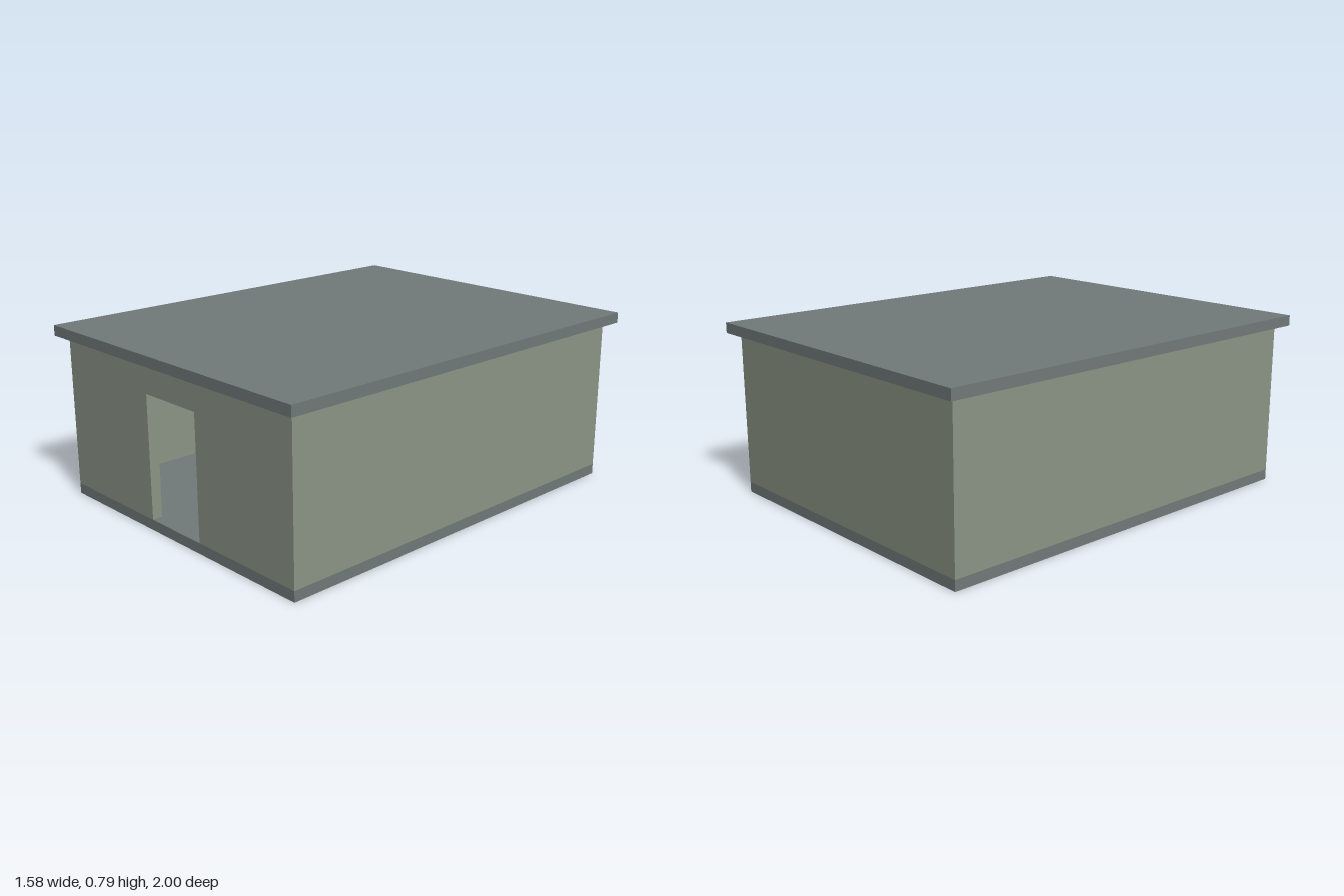
import * as THREE from 'three';

const wallMat = new THREE.MeshStandardMaterial({ color: 0x8c9486 });
wallMat.name = 'sage wall';
const slabMat = new THREE.MeshStandardMaterial({ color: 0x717a79 });
slabMat.name = 'slate grey';

const T = 0.0476;            // thickness of walls, floor and roof
const W = 0.742, D = 0.955;  // half width and half depth of the walls
const TOP = 0.745;           // underside of the roof
const H = TOP - T;           // wall height above the floor slab

export function createModel() {
  const model = new THREE.Group();
  model.name = 'hut';

  const add = (name, geometry, material, x, y, z) => {
    const mesh = new THREE.Mesh(geometry, material);
    mesh.name = name;
    mesh.position.set(x, y, z);
    model.add(mesh);
  };
  const box = (w, h, d) => new THREE.BoxGeometry(w, h, d);

  // Floor slab and overhanging flat roof
  add('floorSlab', box(2 * W, T, 2 * D), slabMat, 0, T / 2, 0);
  add('roofSlab', box(1.58, T, 2), slabMat, 0, TOP + T / 2, 0);

  // Side walls fit between the front and back walls
  for (const [name, side] of [['leftWall', 1], ['rightWall', -1]]) {
    add(name, box(T, H, 2 * (D - T)), wallMat, side * (W - T / 2), T + H / 2, 0);
  }
  add('backWall', box(2 * W, H, T), wallMat, 0, T + H / 2, -D + T / 2);

  // Front wall, one outline notched by the open doorway
  const door = 0.163, doorTop = 0.607 - T;
  const outline = [[-W, 0], [-door, 0], [-door, doorTop], [door, doorTop],
    [door, 0], [W, 0], [W, H], [-W, H]];
  const shape = new THREE.Shape(outline.map(([x, y]) => new THREE.Vector2(x, y)));
  const front = new THREE.ExtrudeGeometry(shape, { depth: T, bevelEnabled: false });
  add('frontWall', front, wallMat, 0, T, D - T);

  return model;
}
